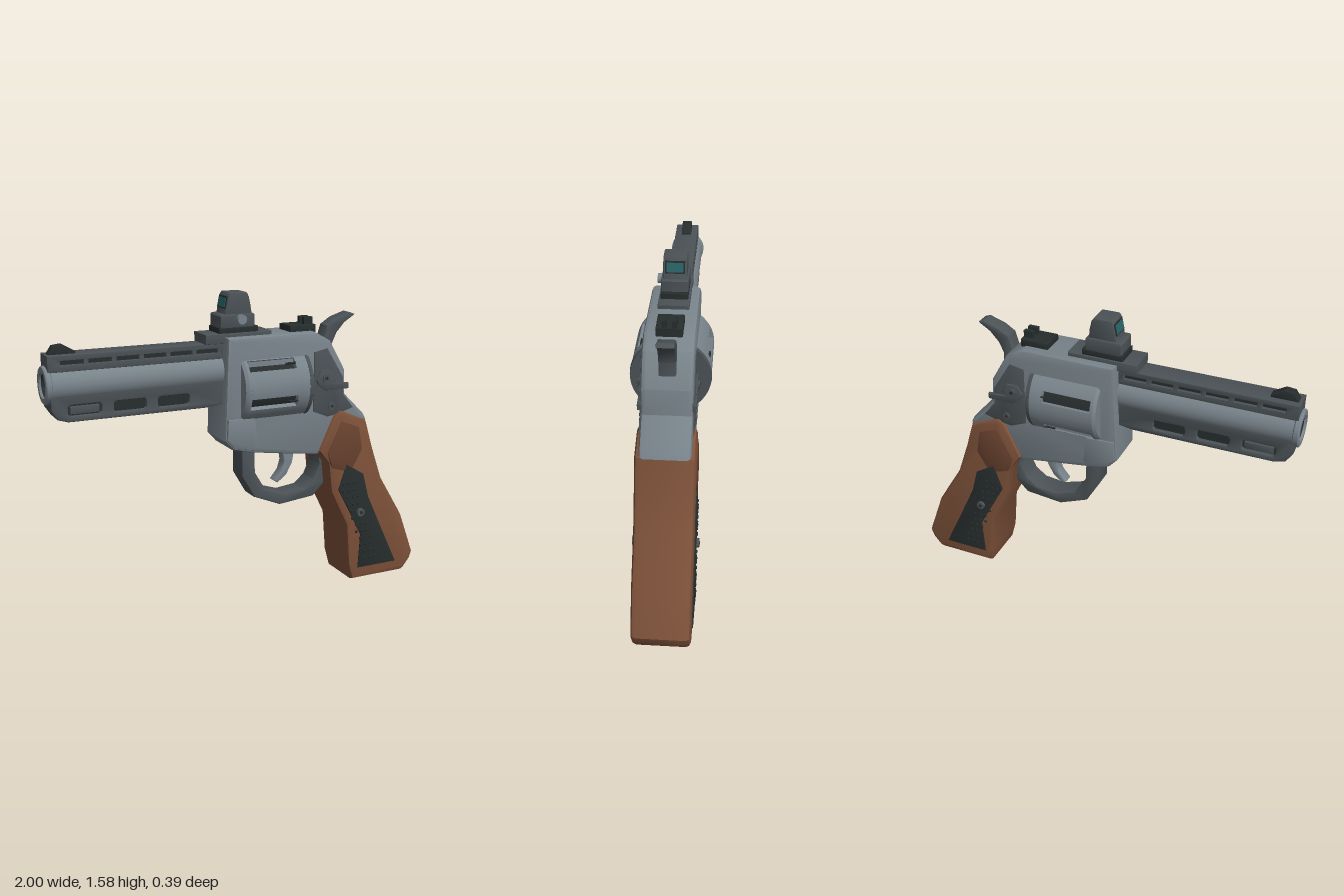
import * as THREE from 'three';
import { toCreasedNormals } from 'three/addons/utils/BufferGeometryUtils.js';

const STEEL = 0x78838a, DARK = 0x4b5256, BLACK = 0x272d2d, WOOD = 0x7d5139, WOOD_DARK = 0x69422f, GLASS = 0x2a6468;

export function createModel() {
  const model = new THREE.Group();
  const material = (color) => new THREE.MeshStandardMaterial({ color });

  const add = (name, geometry, color) => {
    const mesh = new THREE.Mesh(geometry, material(color));
    mesh.name = name;
    model.add(mesh);
    return mesh;
  };
  const toPath = (points, Type = THREE.Shape) => new Type(points.map(([x, y]) => new THREE.Vector2(x, y)));

  // Side outline given thickness along z, with bevelled rims inside the outline
  const plate = (name, points, z0, z1, color, bevel = 0.008, holes = []) => {
    const shape = toPath(points);
    shape.holes = holes.map((h) => toPath(h, THREE.Path));
    const geometry = new THREE.ExtrudeGeometry(shape, {
      depth: z1 - z0 - 2 * bevel, bevelEnabled: bevel > 0, bevelSize: bevel,
      bevelThickness: bevel, bevelOffset: -bevel, bevelSegments: 2, curveSegments: 8,
    });
    geometry.translate(0, 0, z0 + bevel);
    return add(name, toCreasedNormals(geometry, 0.6), color);
  };
  const rect = (x0, x1, y0, y1, c = 0) => c
    ? [[x0 + c, y0], [x1 - c, y0], [x1, y0 + c], [x1, y1 - c], [x1 - c, y1], [x0 + c, y1], [x0, y1 - c], [x0, y0 + c]]
    : [[x0, y0], [x1, y0], [x1, y1], [x0, y1]];
  // The same plate on both sides
  const sidePlates = (name, points, z0, z1, color, bevel) => {
    plate(name + 'Left', points, z0, z1, color, bevel);
    plate(name + 'Right', points, -z1, -z0, color, bevel);
  };
  const screw = (name, x, y, z, r, color = DARK) => {
    for (const s of [1, -1]) {
      const head = new THREE.CylinderGeometry(r, r, 0.02, 16).rotateX(Math.PI / 2).translate(x, y, s * (z - 0.01));
      add(name, head, color);
      add(name + 'Socket', new THREE.CylinderGeometry(r * 0.45, r * 0.45, 0.004, 6)
        .rotateX(Math.PI / 2).translate(x, y, s * z), BLACK);
    }
  };

  // Barrel with raised muzzle ring and open bore
  const barrelProfile = [[0.083, 0.1], [0.083, 0.97], [0.09, 0.975], [0.09, 0.995], [0.085, 1], [0.062, 1], [0.056, 0.99]]
    .map(([r, y]) => new THREE.Vector2(r, y));
  add('barrel', toCreasedNormals(new THREE.LatheGeometry(barrelProfile, 40)
    .rotateZ(Math.PI / 2).translate(0, 1.2, 0), 0.5), STEEL);
  const boreProfile = [[0.056, 0.99], [0.056, 0.7], [0, 0.7]].map(([r, y]) => new THREE.Vector2(r, y));
  add('bore', toCreasedNormals(new THREE.LatheGeometry(boreProfile, 32)
    .rotateZ(Math.PI / 2).translate(0, 1.2, 0), 0.5), BLACK).material.side = THREE.DoubleSide;

  // Vented top rib: slotted bar around a narrower dark core
  const ribSlots = [];
  for (let i = 0; i < 6; i++) {
    const x = -0.87 + i * 0.134;
    ribSlots.push(rect(x - 0.055, x + 0.055, 1.296, 1.317));
  }
  plate('topRib', rect(-0.985, -0.1, 1.265, 1.342), -0.06, 0.06, DARK, 0.004, ribSlots);
  plate('topRibCore', rect(-0.97, -0.11, 1.28, 1.33), -0.045, 0.045, BLACK, 0);

  // Underlug with three windows
  const lugSlots = [-0.82, -0.6, -0.38].map((x) => rect(x - 0.08, x + 0.08, 1.058, 1.11, 0.01));
  plate('underlug', [[-0.98, 1.17], [-0.98, 1.09], [-0.95, 1.045], [-0.9, 1.03], [-0.2, 1.03], [-0.1, 1.045], [-0.1, 1.17]],
    -0.07, 0.07, DARK, 0.008, lugSlots);
  plate('underlugCore', rect(-0.93, -0.12, 1.045, 1.14), -0.05, 0.05, BLACK, 0);
  sidePlates('underlugInsert', rect(-0.89, -0.75, 1.066, 1.102), 0.045, 0.064, DARK, 0.003);

  // Front sight blade
  plate('frontSight', [[-0.975, 1.335], [-0.945, 1.38], [-0.9, 1.385], [-0.84, 1.35], [-0.84, 1.335]], -0.025, 0.025, BLACK, 0.004);

  // Frame
  plate('frame', [[-0.115, 1.37], [-0.135, 0.86], [-0.09, 0.81], [0.01, 0.785], [0.39, 0.73], [0.5, 0.8], [0.62, 0.86],
    [0.68, 0.89], [0.665, 0.92], [0.545, 1.04], [0.54, 1.17], [0.455, 1.32], [0.365, 1.37]], -0.12, 0.12, STEEL, 0.02);
  sidePlates('crane', [[-0.12, 0.97], [0.025, 0.965], [0.04, 0.82], [0.02, 0.8], [-0.085, 0.82], [-0.125, 0.865]],
    0.1, 0.128, STEEL, 0.006);
  sidePlates('sidePlate', [[0.355, 1.27], [0.43, 1.285], [0.525, 1.13], [0.53, 1.04], [0.59, 0.965], [0.5, 0.94], [0.44, 0.93], [0.355, 0.965]],
    0.1, 0.125, DARK, 0.003);
  sidePlates('latch', [[0.365, 1.13], [0.39, 1.175], [0.45, 1.175], [0.48, 1.12], [0.46, 1.105], [0.555, 1.1], [0.555, 1.07], [0.42, 1.07], [0.38, 1.1]],
    0.115, 0.134, DARK, 0.004);
  screw('latchScrew', 0.42, 1.135, 0.142, 0.02);
  screw('frameScrew', 0.46, 0.985, 0.132, 0.018);

  // Fluted drum: plain end rings, six raised lands, dark core in the flutes
  const drum = new THREE.Group();
  drum.name = 'cylinder';
  drum.position.y = 1.11;
  model.add(drum);
  const drumPart = (name, geometry, color) => drum.add(add(name, toCreasedNormals(geometry, 0.5), color));
  const ring = (name, x0, x1, r0, r1, color) => drumPart(name,
    new THREE.CylinderGeometry(r1, r0, x1 - x0, 48).rotateZ(-Math.PI / 2).translate((x0 + x1) / 2, 0, 0), color);
  ring('drumFrontEdge', -0.05, -0.035, 0.18, 0.19, STEEL);
  ring('drumFront', -0.035, -0.02, 0.19, 0.19, STEEL);
  ring('fluteFloor', -0.03, 0.245, 0.165, 0.165, BLACK);
  ring('drumRear', 0.235, 0.3, 0.19, 0.19, STEEL);
  ring('drumRearRim', 0.3, 0.32, 0.193, 0.19, DARK);
  for (let i = 0; i < 6; i++) {
    const a = THREE.MathUtils.degToRad(20 + i * 60), half = 0.16;
    const land = new THREE.Shape();
    land.absarc(0, 0, 0.19, a + half, a + Math.PI / 3 - half, false);
    land.absarc(0, 0, 0.15, a + Math.PI / 3 - half, a + half, true);
    drumPart('land', new THREE.ExtrudeGeometry(land, { depth: 0.255, bevelEnabled: false, curveSegments: 8 })
      .rotateY(Math.PI / 2).translate(-0.02, 0, 0), STEEL);
    const mid = a + Math.PI / 6;
    drumPart('stopNotch', new THREE.BoxGeometry(0.055, 0.008, 0.008).translate(0.21, 0, 0.188)
      .rotateX(mid - Math.PI / 2 - Math.PI / 6 + Math.PI / 6), BLACK);
  }

  // Hammer, trigger and guard
  plate('hammer', [[0.41, 1.25], [0.455, 1.32], [0.475, 1.385], [0.53, 1.42], [0.61, 1.445], [0.637, 1.435], [0.575, 1.395],
    [0.53, 1.345], [0.505, 1.29], [0.51, 1.22]], -0.04, 0.04, DARK, 0.006);
  plate('trigger', [[0.225, 0.78], [0.305, 0.78], [0.29, 0.68], [0.255, 0.615], [0.205, 0.578], [0.185, 0.59], [0.225, 0.64], [0.24, 0.69]],
    -0.03, 0.03, STEEL, 0.008);
  plate('triggerGuard', [[-0.015, 0.8], [-0.015, 0.65], [0.055, 0.53], [0.205, 0.468], [0.4, 0.488], [0.47, 0.56], [0.49, 0.75],
    [0.42, 0.75], [0.435, 0.66], [0.4, 0.58], [0.345, 0.535], [0.235, 0.522], [0.12, 0.56], [0.06, 0.66], [0.055, 0.8]],
    -0.06, 0.06, DARK, 0.008);

  // Grip with panels, screw and studs
  plate('grip', [[0.39, 0.75], [0.475, 0.935], [0.51, 0.96], [0.67, 0.89], [0.715, 0.74], [0.778, 0.56], [0.915, 0.335], [1, 0.105],
    [0.985, 0.06], [0.945, 0.01], [0.925, 0], [0.61, 0], [0.585, 0.09], [0.565, 0.32], [0.465, 0.52], [0.445, 0.68]],
    -0.14, 0.14, WOOD, 0.025);
  sidePlates('gripUpperPanel', [[0.515, 0.9], [0.62, 0.86], [0.642, 0.735], [0.575, 0.62], [0.465, 0.655], [0.435, 0.74]],
    0.12, 0.144, WOOD_DARK, 0.004);
  sidePlates('gripInsert', [[0.55, 0.665], [0.655, 0.6], [0.69, 0.47], [0.765, 0.31], [0.88, 0.068], [0.64, 0.068], [0.65, 0.26], [0.505, 0.53]],
    0.12, 0.146, BLACK, 0.004);
  screw('gripScrew', 0.64, 0.39, 0.16, 0.022);
  for (let row = 0; row < 12; row++) {
    for (let col = 0; col < 3; col++) {
      const y = 0.12 + row * 0.04;
      const x = 0.745 - row * 0.0145 - col * 0.032 + (row % 2) * 0.012;
      if (Math.hypot(x - 0.64, y - 0.39) < 0.035) continue;
      for (const s of [1, -1]) {
        add('gripStud', new THREE.CylinderGeometry(0.005, 0.009, 0.006, 6)
          .rotateX(s * Math.PI / 2).translate(x, y, s * 0.148), BLACK);
      }
    }
  }

  // Top mount and reflex sight
  plate('mountRail', rect(-0.215, 0.14, 1.34, 1.388), -0.075, 0.075, DARK, 0.006);
  plate('mountPlate', rect(-0.14, 0.07, 1.38, 1.415), -0.065, 0.065, BLACK, 0.004);
  plate('sightBase', rect(-0.132, 0.052, 1.41, 1.478, 0.008), -0.065, 0.065, DARK, 0.006);
  const hood = [[-0.105, 1.47], [0.042, 1.47], [0.02, 1.568], [0.012, 1.58], [-0.075, 1.58], [-0.085, 1.568]];
  plate('sightHood', hood, -0.056, 0.056, DARK, 0.006);
  const lens = (name, x, tilt, color, h, w) => add(name, new THREE.BoxGeometry(0.006, h, w)
    .rotateZ(tilt).translate(x, 1.533, 0), color);
  lens('lensRimRear', 0.028, 0.22, BLACK, 0.06, 0.095);
  lens('lensRear', 0.031, 0.22, GLASS, 0.045, 0.08);
  lens('lensRimFront', -0.093, -0.2, BLACK, 0.06, 0.095);
  lens('lensFront', -0.096, -0.2, GLASS, 0.045, 0.08);
  add('sightKnob', new THREE.CylinderGeometry(0.024, 0.024, 0.03, 20).rotateX(Math.PI / 2).translate(-0.025, 1.452, 0.07), STEEL);

  // Rear sight with notch between two posts
  plate('rearSightBase', rect(0.25, 0.395, 1.36, 1.4), -0.062, 0.062, BLACK, 0.005);
  for (const s of [1, -1]) {
    add('rearSightPost', new THREE.BoxGeometry(0.05, 0.045, 0.022).translate(0.365, 1.413, s * 0.024), BLACK);
  }
  return model;
}
